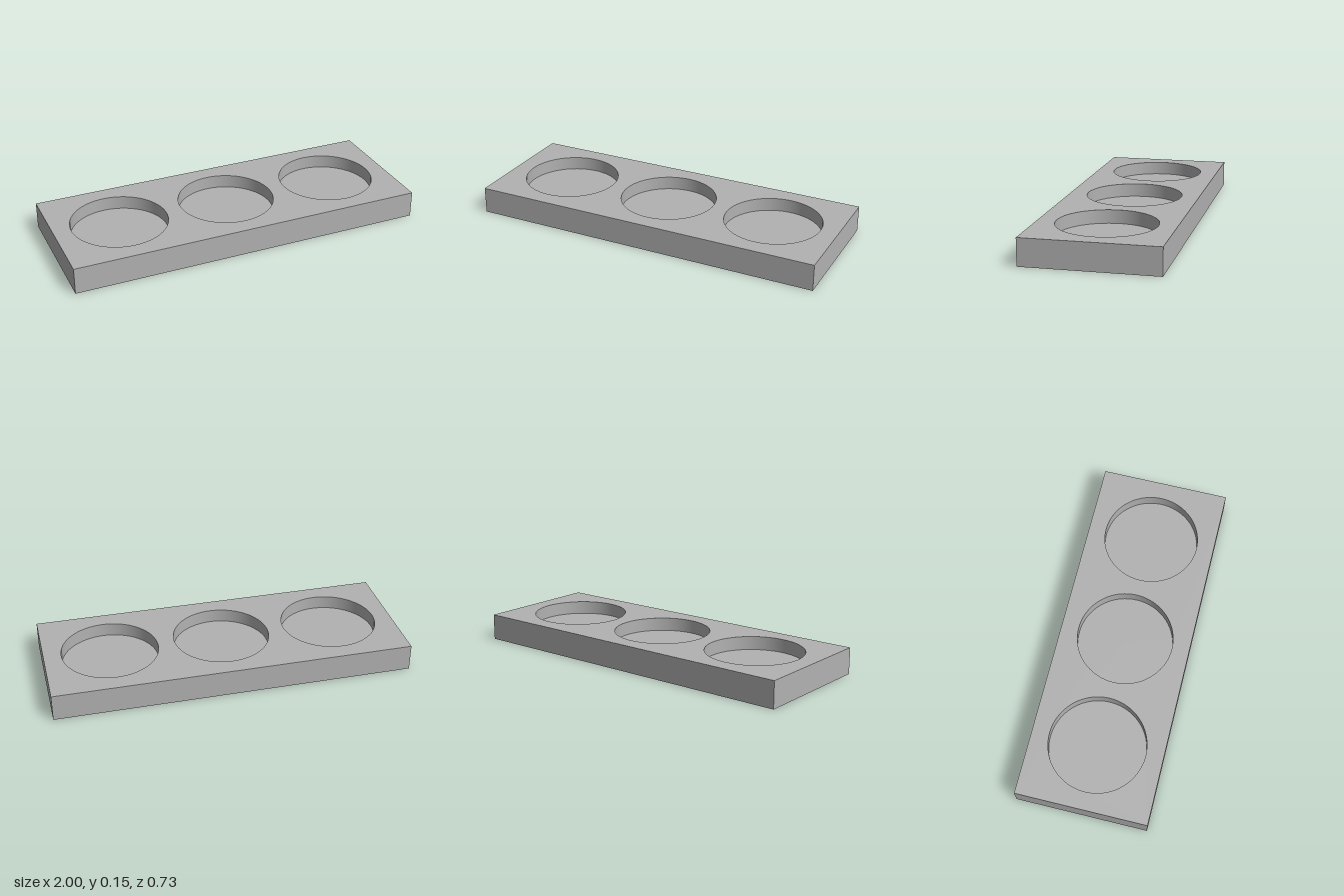
import * as THREE from 'three';

const WIDTH = 2, DEPTH = 0.733, HEIGHT = 0.149;
const RADIUS = 0.269, SPACING = 0.633, FLOOR = 0.074, SEGMENTS = 96;

export function createModel() {
  const group = new THREE.Group();
  group.name = 'threeWellTray';
  const grey = new THREE.MeshStandardMaterial({ color: 0xb2b2b2 });
  grey.name = 'grey';

  const add = (name, geometry, x = 0, y = 0) => {
    const mesh = new THREE.Mesh(geometry, grey);
    mesh.name = name;
    mesh.position.set(x, y, 0);
    group.add(mesh);
  };
  const centres = [-SPACING, 0, SPACING];

  // Outer walls and underside: a box without its top face (the third of six)
  const body = new THREE.BoxGeometry(WIDTH, HEIGHT, DEPTH);
  body.setIndex([...body.index.array].filter((_, i) => i < 12 || i >= 18));
  body.clearGroups();
  add('body', body, 0, HEIGHT / 2);

  // Top face pierced by three round openings
  const w = WIDTH / 2, d = DEPTH / 2;
  const outline = new THREE.Shape([
    new THREE.Vector2(-w, -d), new THREE.Vector2(w, -d),
    new THREE.Vector2(w, d), new THREE.Vector2(-w, d),
  ]);
  for (const x of centres) {
    outline.holes.push(new THREE.Path().absarc(x, 0, RADIUS, 0, Math.PI * 2, true));
  }
  add('topFace', new THREE.ShapeGeometry(outline, SEGMENTS / 2).rotateX(-Math.PI / 2), 0, HEIGHT);

  // Round wells: inward-facing wall (profile runs downward) and flat floor
  const wall = new THREE.LatheGeometry(
    [new THREE.Vector2(RADIUS, HEIGHT), new THREE.Vector2(RADIUS, FLOOR)], SEGMENTS);
  const floor = new THREE.CircleGeometry(RADIUS, SEGMENTS).rotateX(-Math.PI / 2);
  for (const x of centres) {
    add('wellWall', wall, x);
    add('wellFloor', floor, x, FLOOR);
  }
  return group;
}
